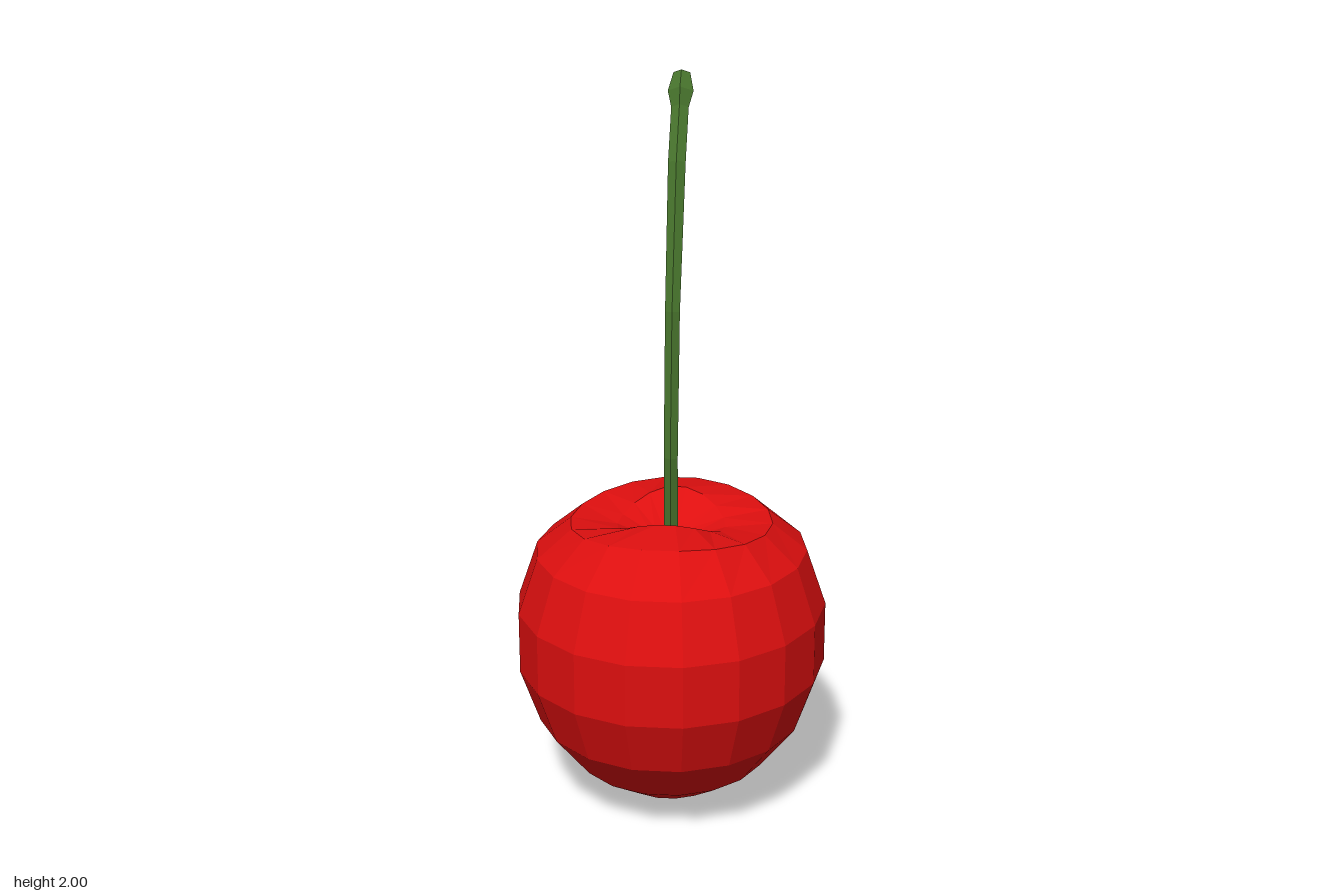
import * as THREE from 'three';

// Skins a list of rings (arrays of Vector3, counter-clockwise seen from the end) into one geometry.
function loft(rings) {
  const n = rings[0].length;
  const index = [];
  for (let i = 0; i < rings.length - 1; i++) {
    for (let j = 0; j < n; j++) {
      const k = (j + 1) % n;
      const a = i * n + j, b = i * n + k, c = a + n, d = b + n;
      index.push(a, b, d, a, d, c);
    }
  }
  const geometry = new THREE.BufferGeometry().setFromPoints(rings.flat());
  geometry.setIndex(index);
  geometry.computeVertexNormals();
  return geometry;
}

export function createModel() {
  const group = new THREE.Group();
  const red = new THREE.MeshStandardMaterial({ color: 0xdd0f0f, flatShading: true });
  red.name = 'cherryRed';
  const green = new THREE.MeshStandardMaterial({ color: 0x48752d, flatShading: true });
  green.name = 'stemGreen';

  // Fruit: oval rings [x radius, z radius, height at the sides, extra height at front and back]
  const profile = [
    [0.001, 0.001, 0.004, 0],
    [0.15, 0.165, 0.035, 0],
    [0.275, 0.305, 0.12, 0],
    [0.376, 0.418, 0.25, 0],
    [0.43, 0.477, 0.405, 0],
    [0.43, 0.477, 0.575, 0],
    [0.376, 0.418, 0.73, 0],
    [0.28, 0.31, 0.805, 0.025],
    [0.15, 0.165, 0.79, 0.06],
    [0.068, 0.075, 0.76, 0.015],
    [0.001, 0.001, 0.735, 0],
  ];
  const sides = 18;
  const fruitRings = profile.map(([rx, rz, y, lift]) =>
    Array.from({ length: sides }, (_, j) => {
      const a = (j / sides) * Math.PI * 2;
      return new THREE.Vector3(rx * Math.cos(a), y + lift * Math.sin(a) ** 2, -rz * Math.sin(a));
    }));
  const fruit = new THREE.Mesh(loft(fruitRings), red);
  fruit.name = 'fruit';
  group.add(fruit);

  // Five-sided ring across the stem; lean is the backward tilt of the stem there
  const stemRing = ([z, y, r, lean]) =>
    Array.from({ length: 5 }, (_, j) => {
      const a = (j / 5) * Math.PI * 2;
      const u = r * Math.cos(a);
      return new THREE.Vector3(r * Math.sin(a), y + u * Math.sin(lean), z + u * Math.cos(lean));
    });

  // Stem: bends backward as it rises
  const stem = new THREE.Mesh(loft([
    [0.0, 0.73, 0.02, 0],
    [0.012, 0.99, 0.02, 0.04],
    [-0.037, 1.385, 0.021, 0.2],
    [-0.162, 1.765, 0.025, 0.45],
    [-0.255, 1.905, 0.025, 0.56],
  ].map(stemRing)), green);
  stem.name = 'stem';
  group.add(stem);

  // Stem tip: swollen knob with a flat end
  const tip = new THREE.Mesh(loft([
    [-0.25, 1.897, 0.024, 0.54],
    [-0.277, 1.94, 0.037, 0.54],
    [-0.309, 1.988, 0.024, 0.54],
    [-0.309, 1.988, 0.0005, 0.54],
  ].map(stemRing)), green);
  tip.name = 'stemTip';
  group.add(tip);

  return group;
}
